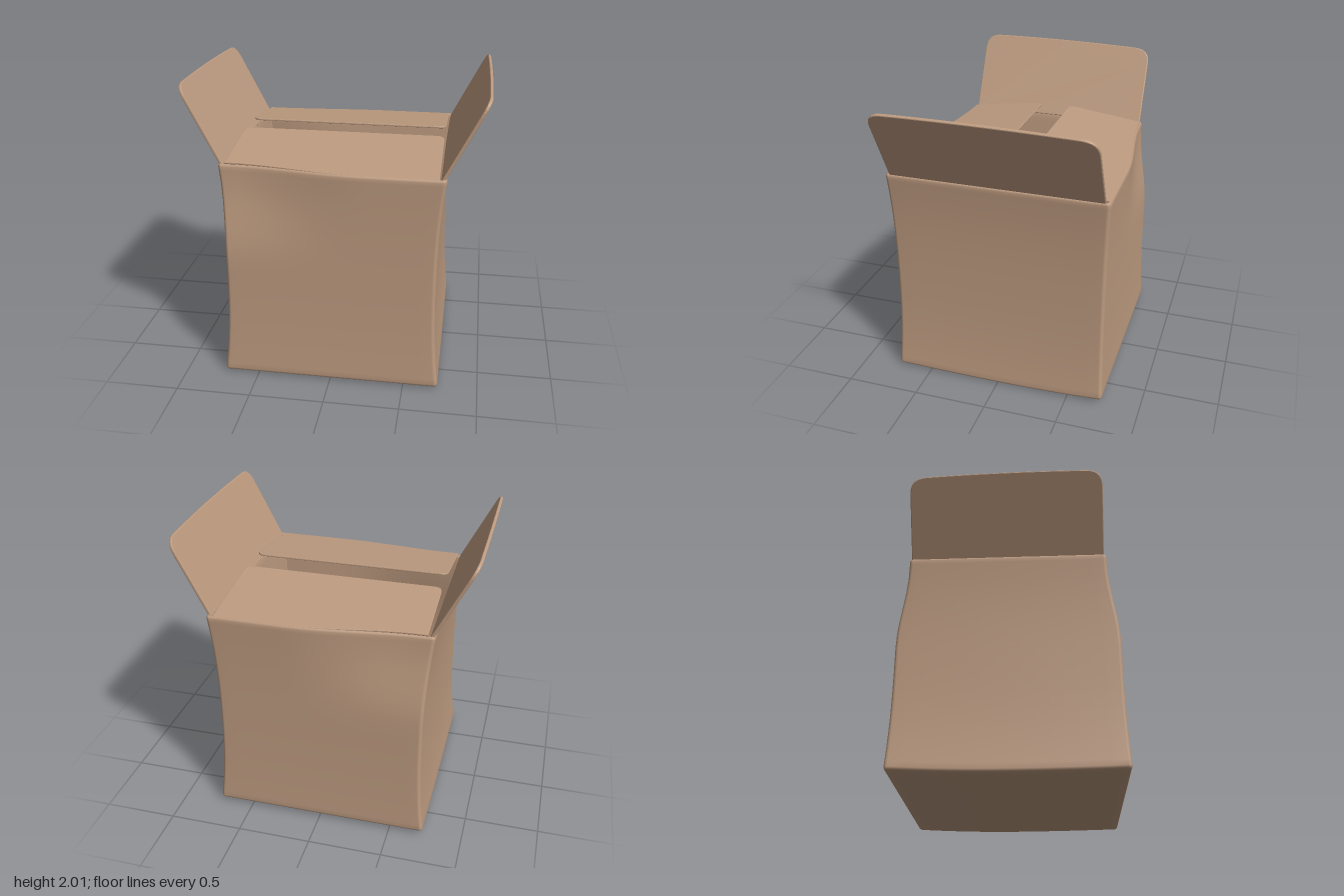
import * as THREE from 'three';

const cardboard = new THREE.MeshStandardMaterial({ color: 0xbc9a7f });
cardboard.name = 'cardboard';

const smooth = THREE.MathUtils.smoothstep;
// how far the upper front and back walls lean inwards towards the -x end
const lean = (x) => 0.085 * (1 - smooth(x, -0.65, 0.2));
// pinch of the waist: 1 at floor and rim, 0 at mid height
const flare = (y) => Math.pow(Math.abs(y - 0.75) / 0.75, 2.4);

// Rounded square outline: [side fraction, corner offset] for x and z
function outline() {
  const pts = [], corners = [[1, 1], [-1, 1], [-1, -1], [1, -1]];
  corners.forEach(([sx, sz], i) => {
    for (let k = 0; k <= 4; k++) {
      const a = (i + k / 4) * Math.PI / 2;
      pts.push([sx, sz, Math.cos(a), Math.sin(a)]);
    }
    const [nx, nz] = corners[(i + 1) % 4], a = (i + 1) * Math.PI / 2;
    for (let k = 1; k < 16; k++) {
      const t = k / 16;
      pts.push([sx + (nx - sx) * t, sz + (nz - sz) * t, Math.cos(a), Math.sin(a)]);
    }
  });
  return pts;
}

// Box shell: underside, outer walls, rim, inner walls and floor in one loft
function bodyGeometry() {
  // scale, inset, height
  const profile = [[0, 0, 0], [0.5, 0.02, 0], [0.95, 0.02, 0], [1, 0.02, 0.001], [1, 0.007, 0.007], [1, 0, 0.022], [1, 0, 0.06]];
  for (let y = 0.15; y < 1.42; y += 0.1) profile.push([1, 0, y]);
  profile.push([1, 0, 1.46], [1, 0, 1.484], [1, 0.006, 1.496], [1, 0.016, 1.5], [1, 0.027, 1.496], [1, 0.033, 1.484], [1, 0.033, 1.45]);
  for (let y = 1.35; y > 0.1; y -= 0.1) profile.push([1, 0.033, y]);
  profile.push([1, 0.033, 0.05], [1, 0.04, 0.035], [0.95, 0.04, 0.033], [0.5, 0.04, 0.033], [0, 0.04, 0.033]);

  const ring = outline(), n = ring.length, pos = [], index = [];
  const r = 0.025;
  profile.forEach(([s, inset, y], i) => {
    ring.forEach(([fx, fz, ox, oz], j) => {
      const rr = Math.max(r - inset, 0.004);
      const x = fx * (0.694 + 0.042 * flare(y) - inset - rr) + ox * rr;
      const hz = 0.727 + 0.018 * flare(y) - lean(x) * smooth(y, 0.85, 1.5);
      const z = (fz * (hz - inset - rr) + oz * rr) * s;
      const sag = (z < 0 ? 0.045 : 0.018) * z * z * (1 - y / 1.5);
      pos.push(x * s, y + sag, z);
      if (i > 0) {
        const a = (i - 1) * n + j, b = (i - 1) * n + (j + 1) % n;
        index.push(a, a + n, b, b, a + n, b + n);
      }
    });
  });
  const g = new THREE.BufferGeometry();
  g.setAttribute('position', new THREE.Float32BufferAttribute(pos, 3));
  g.setIndex(index);
  g.computeVertexNormals();
  return g;
}

// Flap outline: u along the hinge, v away from it, rounded at the free edge
function flapGeometry(half, length, radius, base, droop, thickness) {
  const s = new THREE.Shape();
  const N = 16;
  s.moveTo(-half, base(-half));
  for (let i = 1; i <= N; i++) {
    const u = -half + 2 * half * i / N;
    s.lineTo(u, base(u));
  }
  const end = (u) => length - droop(u);
  s.lineTo(half, end(half) - radius);
  s.bezierCurveTo(half, end(half) - radius * 0.3, half - radius * 0.3, end(half), half - radius, end(half - radius));
  for (let i = 1; i <= N; i++) {
    const u = (half - radius) * (1 - 2 * i / N);
    s.lineTo(u, end(u));
  }
  s.bezierCurveTo(-half + radius * 0.3, end(-half), -half, end(-half) - radius * 0.3, -half, end(-half) - radius);
  s.closePath();
  const bevel = thickness * 0.3;
  const g = new THREE.ExtrudeGeometry(s, {
    depth: thickness - 2 * bevel, bevelEnabled: true, bevelThickness: bevel,
    bevelSize: bevel, bevelOffset: -bevel, bevelSegments: 2, curveSegments: 8,
  });
  g.translate(0, 0, bevel - thickness / 2);
  return g;
}

function createFlap(name, geometry, hinge, u, v) {
  const mesh = new THREE.Mesh(geometry, cardboard);
  mesh.name = name;
  u.normalize();
  v.normalize();
  mesh.quaternion.setFromRotationMatrix(new THREE.Matrix4().makeBasis(u, v, u.clone().cross(v)));
  mesh.position.copy(hinge);
  return mesh;
}

export function createModel() {
  const V = (x, y, z) => new THREE.Vector3(x, y, z);
  const group = new THREE.Group();
  group.name = 'openBox';

  const body = new THREE.Mesh(bodyGeometry(), cardboard);
  body.name = 'boxBody';
  group.add(body);

  // upright side flaps, the one at -x being narrower
  for (const [side, half, name] of [[1, 0.715, 'leftFlap'], [-1, 0.643, 'rightFlap']]) {
    const droop = (u) => 0.022 * Math.pow((u * side - 0.25) / 0.9, 2);
    const g = flapGeometry(half, 0.583, 0.11, () => 0, droop, 0.022);
    group.add(createFlap(name, g, V(side * 0.708, 1.485, 0), V(0, 0, side), V(side * 0.262, 0.512, 0)));
  }

  // nearly level front and back flaps, their hinges following the leaning walls
  for (const [side, name] of [[1, 'frontFlap'], [-1, 'backFlap']]) {
    const g = flapGeometry(0.688, 0.63, 0.06, (u) => lean(u * side), () => 0, 0.014);
    group.add(createFlap(name, g, V(0, 1.494, side * 0.73), V(side, 0, 0), V(0, 0.083, -side * 0.63)));
  }
  return group;
}
